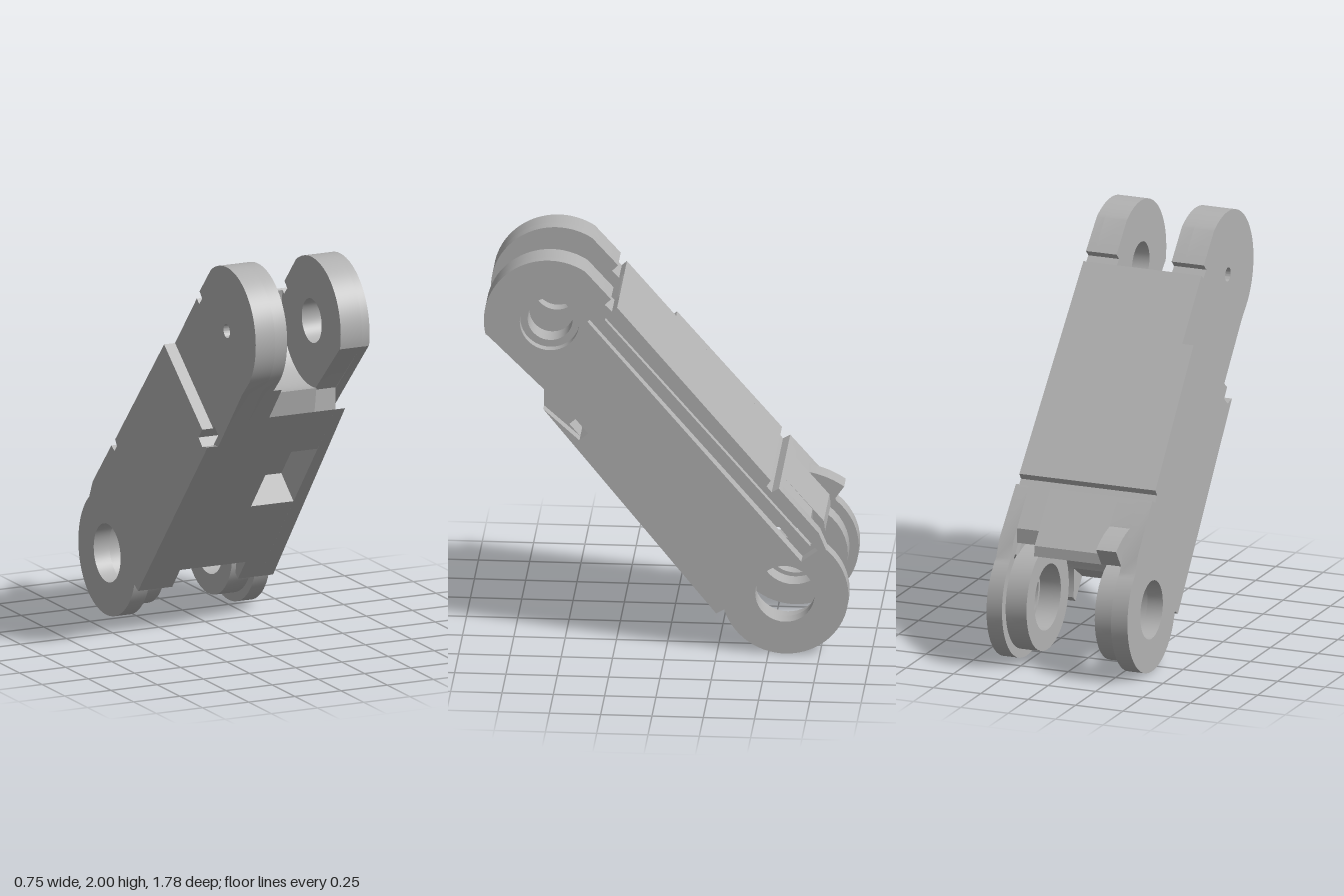
import * as THREE from 'three';
import { toCreasedNormals } from 'three/addons/utils/BufferGeometryUtils.js';

// All profiles are drawn as [z, y] points and extruded along x.
const UP = [0.57, 1.68];   // upper pivot
const LOW = [-0.58, 0.31]; // lower pivot

function arc(c, r, a0, a1, n = 40) {
  const pts = [];
  for (let i = 0; i <= n; i++) {
    const a = THREE.MathUtils.degToRad(a0 + (a1 - a0) * i / n);
    pts.push([c[0] + r * Math.cos(a), c[1] + r * Math.sin(a)]);
  }
  return pts;
}
const circle = (c, r) => arc(c, r, 0, 351, 39);

// Side width shrinks gently from the lower pivot to the upper one
function sideX(z, y) {
  const s = ((z - LOW[0]) * 1.15 + (y - LOW[1]) * 1.37) / 3.2;
  return 0.368 - 0.033 * s;
}

export function createModel() {
  const group = new THREE.Group();
  const grey = new THREE.MeshStandardMaterial({ color: 0xb2b2b2 });
  grey.name = 'plain grey';
  const vec = (pts) => pts.map(([a, b]) => new THREE.Vector2(a, b));

  // taper: 1 slants the +x face, -1 slants the -x face
  function slab(name, x0, x1, outline, holes = [], taper = 0) {
    const shape = new THREE.Shape(vec(outline));
    holes.forEach((h) => shape.holes.push(new THREE.Path(vec(h))));
    const geo = new THREE.ExtrudeGeometry(shape, { depth: x1 - x0, bevelEnabled: false });
    geo.rotateY(-Math.PI / 2);
    geo.translate(x1, 0, 0);
    const p = geo.attributes.position;
    const mid = (x0 + x1) / 2;
    for (let i = 0; taper && i < p.count; i++) {
      if ((p.getX(i) - mid) * taper > 0) p.setX(i, taper * sideX(p.getZ(i), p.getY(i)));
    }
    geo.deleteAttribute('normal');
    geo.computeVertexNormals();
    const mesh = new THREE.Mesh(toCreasedNormals(geo, 0.45), grey);
    mesh.name = name;
    group.add(mesh);
  }

  // Shared outline pieces, in counter-clockwise order
  const neck = [[0.27, 1.81], [0.30, 1.78], [0.265, 1.745], [0.24, 1.767]];
  const armRight = [[0.87, 1.60], ...arc(UP, 0.32, -13, 123), ...neck];
  const armLeft = [[0.74, 1.4], ...arc(UP, 0.32, -40, 123), ...neck];
  const saddle = [...arc(UP, 0.33, 279, 166), [0.24, 1.767]];
  const topSeam = [[-0.51, 0.895], [-0.49, 0.865], [-0.515, 0.835], [-0.55, 0.855]];
  const lowDisc = [[-0.745, 0.63], ...arc(LOW, 0.31, 130, 343), [-0.245, 0.196]];
  const lowCut = [[-0.70, 0.68], ...arc(LOW, 0.32, 112, -16), [-0.245, 0.196]];
  const lowHook = [[-0.65, 0.74], ...arc(LOW, 0.43, 100, 125, 10),
    ...arc(LOW, 0.32, 125, -16), [-0.245, 0.196]];
  const lowCentre = [[-0.755, 0.62], ...arc(LOW, 0.316, 125, 11), [-0.16, 0.30]];
  const pocket = [[0.134, 0.66], [0.0, 0.77], [0.27, 1.094], [0.40, 0.985]];
  const slot = [[0.476, 1.135], [0.434, 1.172], [0.381, 1.109], [0.423, 1.072]];
  const centreFoot = [[0.60, 1.229]];

  // Right side: outer plate with long groove and sharp lower tongue
  const groove = [[0.385, 1.69], [0.325, 1.745], [-0.74, 0.54], [-0.66, 0.48]];
  slab('rightSidePlate', 0.29, 0.36,
    [...armRight, ...topSeam, ...lowDisc,
      [0.60, 1.229], [0.423, 1.072], [0.381, 1.109], [0.434, 1.172]],
    [circle(UP, 0.145), circle(LOW, 0.145), groove], 1);
  slab('grooveRib', 0.285, 0.325, [[0.30, 1.695], [-0.70, 0.545], [-0.655, 0.51]]);
  slab('rightUpperArm', 0.175, 0.29,
    [...armRight, ...topSeam, ...lowCut, ...pocket, ...centreFoot, [0.60, 1.34]],
    [circle(UP, 0.11), slot]);

  // Centre block with a saddle at each end
  slab('centrePocketBlock', 0.06, 0.175,
    [...saddle, ...topSeam, ...lowCentre, ...pocket, ...centreFoot], [slot]);
  slab('centreBlock', -0.07, 0.06,
    [...saddle, ...topSeam, ...lowCentre, ...centreFoot], [slot]);
  slab('centreLip', -0.115, -0.07,
    [[0.74, 1.4], ...saddle, ...topSeam, ...lowCentre], [slot]);

  // Left upper arm: wide bore inside, pin hole outside
  slab('leftArmInner', -0.18, -0.115,
    [...armLeft, ...topSeam, ...lowCentre], [circle(UP, 0.11), slot]);
  slab('leftArmOuter', -0.285, -0.18,
    [...armLeft, ...topSeam, ...lowHook], [circle(UP, 0.035), slot]);

  // Left lower side plate, ending in a step across the body
  slab('leftSidePlate', -0.36, -0.285,
    [[0.42, 1.157], [0.0, 1.488], ...topSeam, ...lowDisc,
      [0.48, 1.082], [0.423, 1.072], [0.381, 1.109]],
    [circle(LOW, 0.145)], -1);

  // Smaller bearing rings inside the lower fork
  slab('rightBearingRing', 0.18, 0.292, circle(LOW, 0.265), [circle(LOW, 0.165)]);
  slab('leftBearingRing', -0.287, -0.18, circle(LOW, 0.265), [circle(LOW, 0.165)]);

  return group;
}
